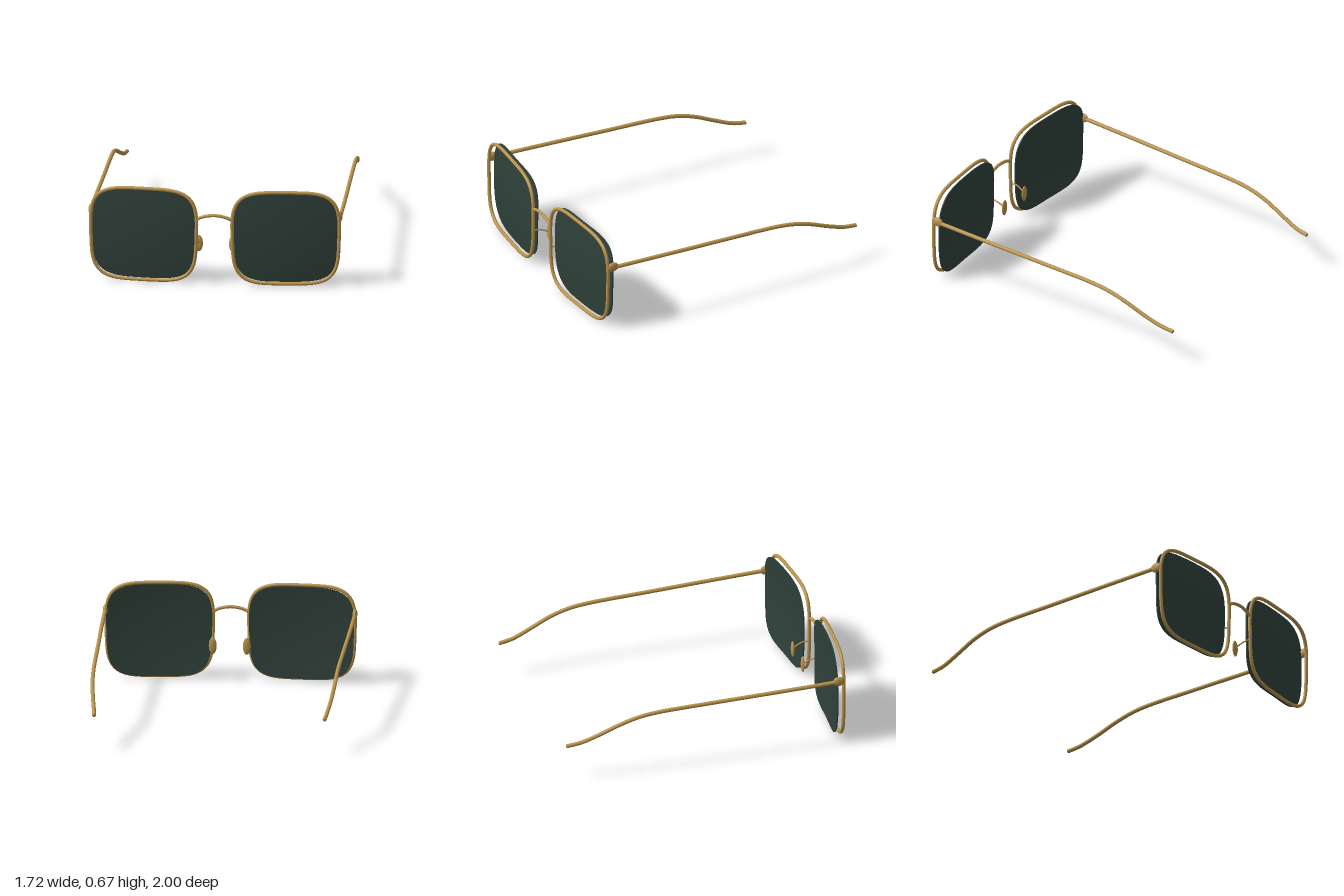
import * as THREE from 'three';
import { toCreasedNormals } from 'three/addons/utils/BufferGeometryUtils.js';

const CX = 0.48, CY = 0.335, A = 0.361, B = 0.323;

// Rounded-square outline around a lens centre, a little narrower at the bottom
function outline(t) {
  const c = Math.cos(t), s = Math.sin(t);
  const v = Math.sign(s) * Math.sqrt(Math.abs(s));
  const u = Math.sign(c) * Math.sqrt(Math.abs(c)) * (v < 0.3 ? 1 - 0.025 * (0.3 - v) : 1);
  return [u * A, v * B];
}

export function createModel() {
  const model = new THREE.Group();
  model.name = 'sunglasses';
  const gold = new THREE.MeshStandardMaterial({ color: 0xb8924a });
  gold.name = 'gold metal';
  const tint = new THREE.MeshStandardMaterial({ color: 0x2f4039 });
  tint.name = 'dark green lens';

  const add = (name, geometry, material = gold) => {
    const mesh = new THREE.Mesh(geometry, material);
    mesh.name = name;
    model.add(mesh);
    return mesh;
  };
  const tube = (name, points, radius, segments, closed = false) => {
    const curve = new THREE.CatmullRomCurve3(points.map(p => new THREE.Vector3(...p)), closed, 'centripetal');
    return add(name, new THREE.TubeGeometry(curve, segments, radius, 12, closed));
  };
  const ellipsoid = (name, pos, size) => {
    const mesh = add(name, new THREE.SphereGeometry(1, 24, 16));
    mesh.position.set(...pos);
    mesh.scale.set(...size);
    return mesh;
  };

  for (const [side, s] of [['left', 1], ['right', -1]]) {
    // Wire rim, swept back towards the temple
    const rim = [];
    for (let i = 0; i < 72; i++) {
      const [x, y] = outline((i + 0.5) / 72 * Math.PI * 2);
      rim.push([s * (CX + x), CY + y, 0.96 - 0.07 * x]);
    }
    tube(side + 'Rim', rim, 0.012, 200, true);

    // Thin domed lens just behind the rim
    const profile = [];
    for (let i = 0; i <= 8; i++) profile.push(new THREE.Vector2(i / 8, -0.004));
    for (let i = 8; i >= 0; i--) profile.push(new THREE.Vector2(i / 8, 0.004));
    const lens = new THREE.LatheGeometry(profile, 96).rotateX(Math.PI / 2);
    const p = lens.attributes.position;
    for (let i = 0; i < p.count; i++) {
      const r = Math.hypot(p.getX(i), p.getY(i)) * 0.99;
      const [ox, oy] = outline(Math.atan2(p.getY(i), p.getX(i)));
      const x = ox * r, y = oy * r;
      p.setXYZ(i, s * CX + x, CY + y, p.getZ(i) + 0.942 - 0.076 * s * x - 0.15 * (x * x + y * y));
    }
    add(side + 'Lens', toCreasedNormals(lens, 0.6), tint);

    // Hinge block and temple arm
    ellipsoid(side + 'Hinge', [s * 0.842, 0.48, 0.9], [0.017, 0.034, 0.042]);
    tube(side + 'Temple', [
      [s * 0.843, 0.477, 0.9], [s * 0.838, 0.463, 0.5], [s * 0.829, 0.447, 0.05],
      [s * 0.822, 0.43, -0.37], [s * 0.82, 0.412, -0.5], [s * 0.815, 0.373, -0.63],
      [s * 0.802, 0.312, -0.77], [s * 0.786, 0.262, -0.9], [s * 0.778, 0.246, -0.994],
    ], 0.0135, 96);
    ellipsoid(side + 'TempleTip', [s * 0.778, 0.246, -0.994], [0.0135, 0.0135, 0.006]);

    // Nose pad on its thin arm
    tube(side + 'PadArm', [
      [s * 0.122, 0.29, 0.982], [s * 0.124, 0.285, 0.93], [s * 0.117, 0.265, 0.885], [s * 0.115, 0.255, 0.868],
    ], 0.005, 20);
    ellipsoid(side + 'NosePad', [s * 0.115, 0.25, 0.866], [0.027, 0.058, 0.011]);
  }

  // Arched bridge between the rims
  tube('bridge', [
    [-0.12, 0.458, 0.985], [-0.08, 0.478, 0.988], [0, 0.491, 0.989],
    [0.08, 0.478, 0.988], [0.12, 0.458, 0.985],
  ], 0.011, 32);

  return model;
}
